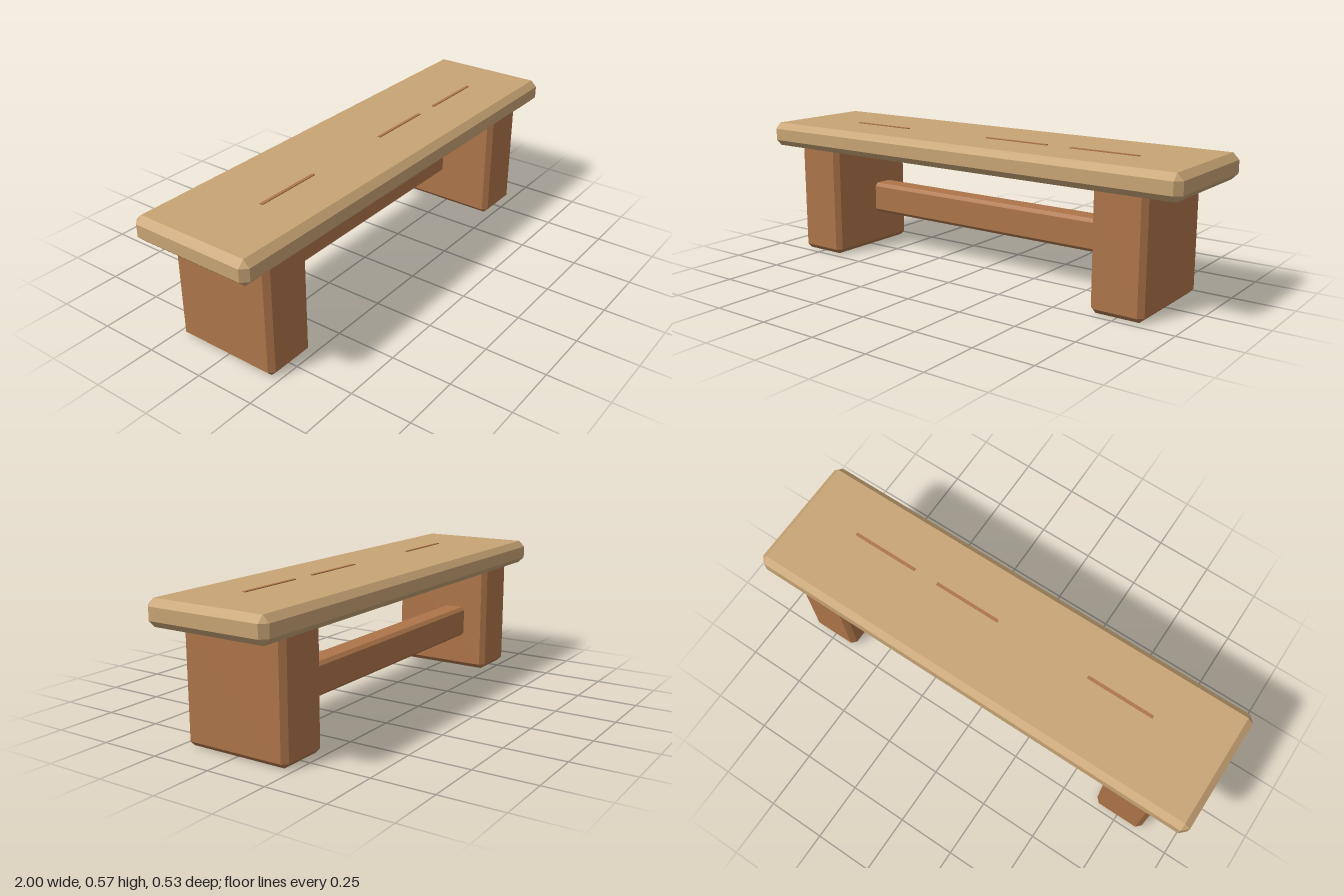
import * as THREE from 'three';
import { ConvexGeometry } from 'three/addons/geometries/ConvexGeometry.js';

// Box with every edge bevelled by c, given as min/max corners
function bevelledBox(min, max, c) {
  const half = max.map((v, i) => (v - min[i]) / 2);
  const mid = max.map((v, i) => (v + min[i]) / 2);
  const points = [];
  for (const sx of [-1, 1]) for (const sy of [-1, 1]) for (const sz of [-1, 1]) {
    // three points per corner, one on each adjoining face
    for (let face = 0; face < 3; face++) {
      const p = [sx, sy, sz].map((s, i) => mid[i] + s * (half[i] - (i === face ? 0 : c)));
      points.push(new THREE.Vector3(...p));
    }
  }
  return new ConvexGeometry(points);
}

export function createModel() {
  const model = new THREE.Group();
  model.name = 'bench';

  const lightWood = new THREE.MeshStandardMaterial({ color: 0xc8a475 });
  lightWood.name = 'lightWood';
  const darkWood = new THREE.MeshStandardMaterial({ color: 0xae754a });
  darkWood.name = 'darkWood';

  const add = (name, geometry, material) => {
    const mesh = new THREE.Mesh(geometry, material);
    mesh.name = name;
    model.add(mesh);
    return mesh;
  };

  // Seat plank
  add('seat', bevelledBox([-1, 0.467, -0.267], [1, 0.57, 0.267], 0.026), lightWood);

  // Slab legs, set slightly into the seat
  for (const [name, x] of [['leftLeg', 0.75], ['rightLeg', -0.75]]) {
    add(name, bevelledBox([x - 0.11, 0, -0.228], [x + 0.11, 0.49, 0.228], 0.02), darkWood);
  }

  // Stretcher between the legs, set back from the centre
  add('stretcher', bevelledBox([-0.7, 0.152, -0.122], [0.7, 0.287, -0.017], 0.014), darkWood);

  // Thin grain strips on the seat
  for (const x of [-0.525, 0.185, 0.585]) {
    const strip = add('grainStrip', new THREE.BoxGeometry(0.293, 0.008, 0.013), darkWood);
    strip.position.set(x, 0.5695, 0.0425);
  }

  return model;
}
